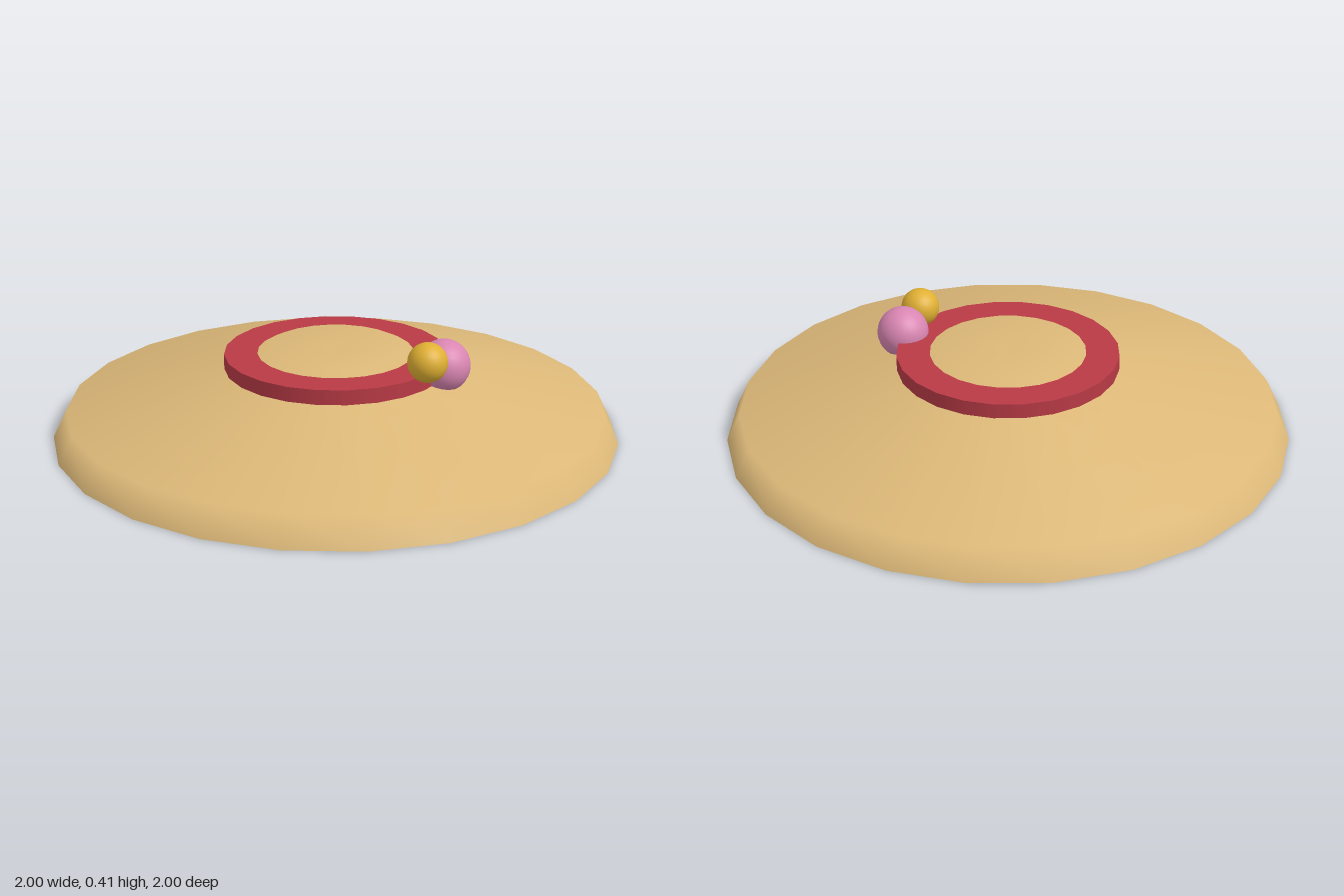
import * as THREE from 'three';

const SIDES = 24;
const paint = (color) => new THREE.MeshStandardMaterial({ color });

function part(name, geometry, material, x = 0, y = 0, z = 0) {
  const mesh = new THREE.Mesh(geometry, material);
  mesh.name = name;
  mesh.position.set(x, y, z);
  return mesh;
}

// Smooth turned surface from [radius, height] pairs
function turned(profile) {
  return new THREE.LatheGeometry(profile.map(([r, y]) => new THREE.Vector2(r, y)), SIDES);
}

export function createModel() {
  const hat = new THREE.Group();
  hat.name = 'strawHat';
  const straw = paint(0xdcb878);

  // Wide sloping brim with a steep edge, running up into the low crown
  hat.add(part('brimAndCrown', turned([
    [1, 0], [0.95, 0.1], [0.37, 0.24], [0.24, 0.305], [0, 0.295],
  ]), straw));

  // Shallow hollow underneath
  hat.add(part('underside', turned([[0, 0.205], [1, 0]]), straw));

  // Ribbon disc, whose lower face shows in the middle of the hollow
  const bottom = 0.168, top = 0.287;
  hat.add(part('ribbon',
    new THREE.CylinderGeometry(0.393, 0.393, top - bottom, SIDES),
    paint(0xb83a45), 0, (top + bottom) / 2, 0));

  // Two round ornaments on the ribbon
  hat.add(part('largeOrnament', new THREE.SphereGeometry(0.092, 24, 16),
    paint(0xd986b2), 0.355, 0.29, 0.19));
  hat.add(part('smallOrnament', new THREE.SphereGeometry(0.069, 24, 16),
    paint(0xe0b034), 0.283, 0.337, 0.287));

  return hat;
}
